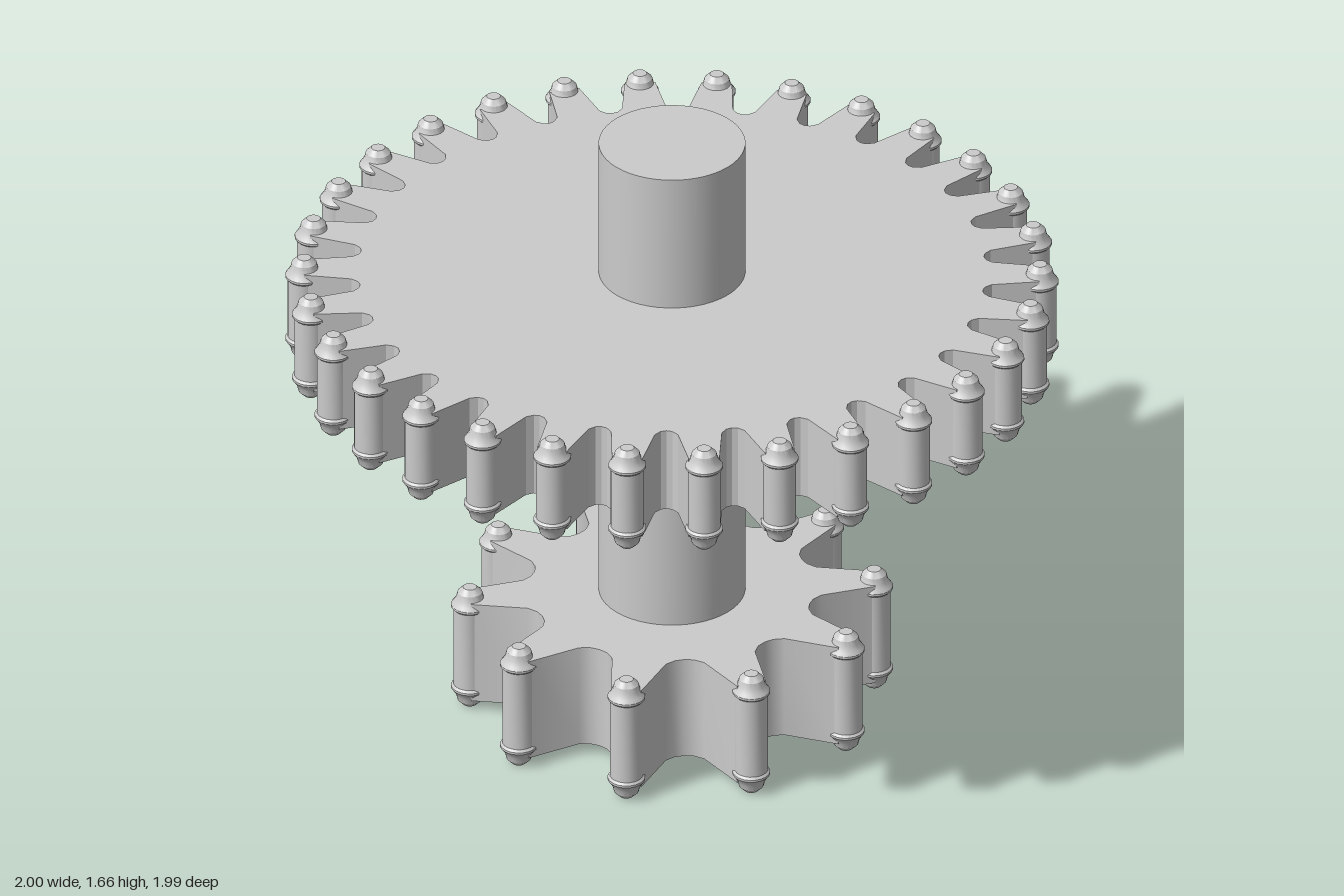
import * as THREE from 'three';
import { toCreasedNormals } from 'three/addons/utils/BufferGeometryUtils.js';

const material = new THREE.MeshStandardMaterial({ color: 0xcccccc });

function addMesh(parent, name, geometry) {
  const mesh = new THREE.Mesh(toCreasedNormals(geometry, 0.5), material);
  mesh.name = name;
  parent.add(mesh);
  return mesh;
}

// Gear plate: tapering teeth with shallow, slightly hollow valleys between them
function gearPlate({ teeth, phase, pinRadius, root, valley, bottom, top }) {
  const shape = new THREE.Shape();
  const step = (Math.PI * 2) / teeth;
  for (let i = 0; i < teeth; i++) {
    const a = phase + i * step;
    const along = (angle, r, side) => new THREE.Vector2(
      r * Math.cos(angle) - side * Math.sin(angle),
      r * Math.sin(angle) + side * Math.cos(angle));
    const mid = a + step / 2;
    const points = [
      along(a, pinRadius, -0.04),
      along(a, pinRadius, 0.04),
      along(mid, root, -valley),
      along(mid, root - 0.016, -valley * 0.5),
      along(mid, root - 0.02, 0),
      along(mid, root - 0.016, valley * 0.5),
      along(mid, root, valley),
    ];
    points.forEach((p, k) => (i + k === 0 ? shape.moveTo(p.x, p.y) : shape.lineTo(p.x, p.y)));
  }
  shape.closePath();
  const geometry = new THREE.ExtrudeGeometry(shape, { depth: top - bottom, bevelEnabled: false });
  return geometry.rotateX(Math.PI / 2).translate(0, top, 0);
}

// Pin: round bar with a collar near each end and a tapered knob beyond it
function pinGeometry(bottom, top) {
  const half = [
    [0, -0.03], [0.018, -0.03], [0.032, -0.016], [0.036, 0],
    [0.043, 0.012], [0.049, 0.02], [0.049, 0.026], [0.043, 0.032],
  ];
  const lower = half.map(([r, y]) => new THREE.Vector2(r, bottom + y));
  const upper = half.map(([r, y]) => new THREE.Vector2(r, top - y)).reverse();
  return new THREE.LatheGeometry([...lower, ...upper], 20);
}

function createGear(name, options) {
  const gear = new THREE.Group();
  gear.name = name;
  addMesh(gear, 'gearPlate', gearPlate(options));
  const pin = toCreasedNormals(pinGeometry(options.bottom, options.top), 0.5);
  for (let i = 0; i < options.teeth; i++) {
    const a = options.phase + (i * Math.PI * 2) / options.teeth;
    const mesh = new THREE.Mesh(pin, material);
    mesh.name = 'toothPin';
    mesh.position.set(options.pinRadius * Math.cos(a), 0, options.pinRadius * Math.sin(a));
    gear.add(mesh);
  }
  return gear;
}

export function createModel() {
  const model = new THREE.Group();
  model.name = 'doubleGear';

  // Shaft through both gears
  const shaft = new THREE.CylinderGeometry(0.19, 0.19, 1.6, 48).translate(0, 0.86, 0);
  addMesh(model, 'shaft', shaft);

  // Large upper gear and small lower gear
  model.add(createGear('largeGear', {
    teeth: 30, phase: 0, pinRadius: 0.952, root: 0.83, valley: 0.03, bottom: 1.04, top: 1.275,
  }));
  model.add(createGear('smallGear', {
    teeth: 10, phase: THREE.MathUtils.degToRad(6), pinRadius: 0.525,
    root: 0.385, valley: 0.05, bottom: 0.03, top: 0.32,
  }));
  return model;
}
